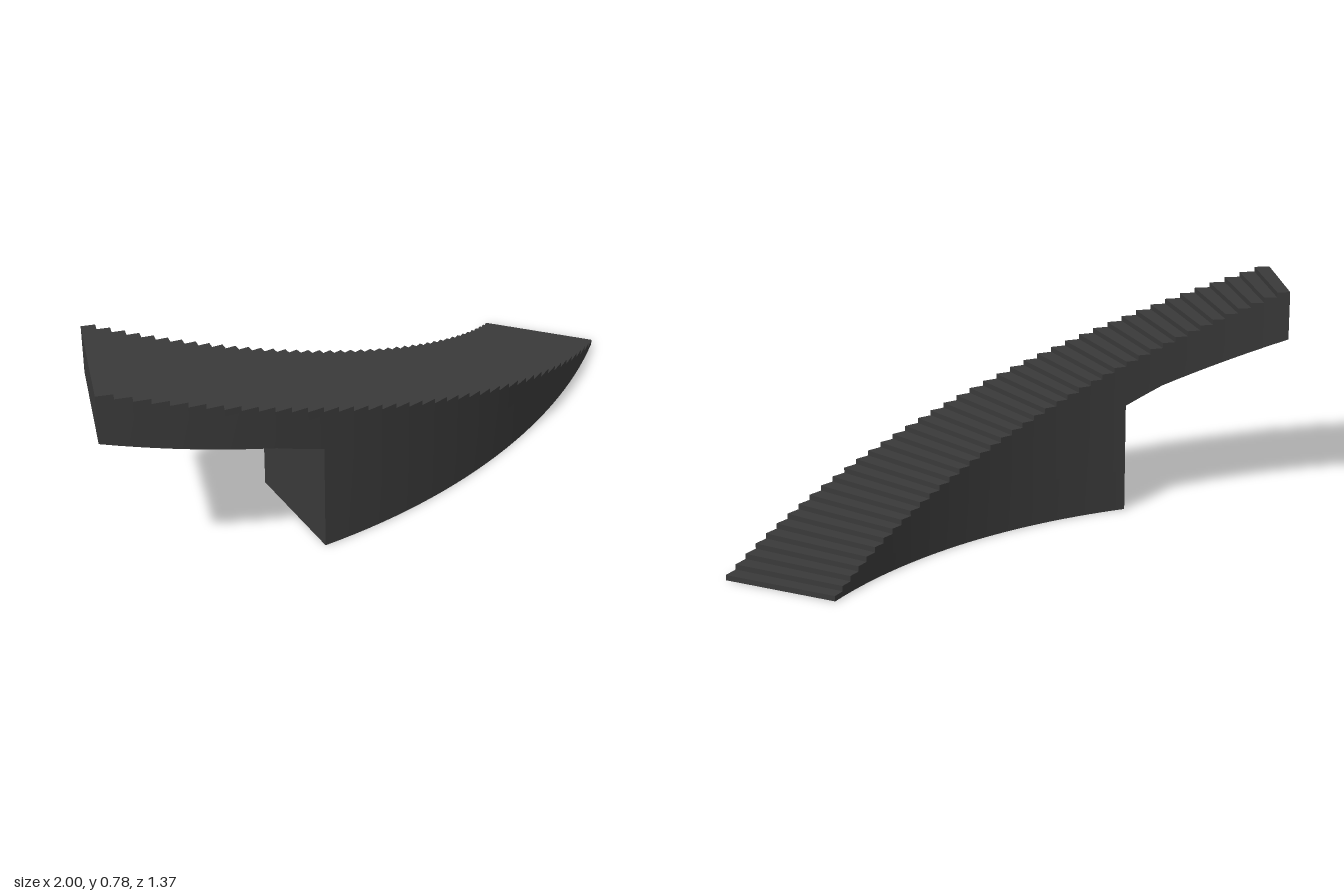
import * as THREE from 'three';
import { toCreasedNormals } from 'three/addons/utils/BufferGeometryUtils.js';

const STEPS = 42, SWEEP = Math.PI / 3, HEIGHT = 0.78;
const R_OUT = 2.309, R_IN = 1.886, CENTRE_Z = -1.626;
const BASE_STEP = 13; // the solid base starts below this step
const KINK_STEP = 10; // the soffit gets steeper here

// Point at a radius, a position along the stair (in steps) and a height
const point = (r, s, y) => {
  const a = (s / STEPS) * SWEEP;
  return [-1 + r * Math.sin(a), y, CENTRE_Z + r * Math.cos(a)];
};

const topAt = (i) => (HEIGHT * (STEPS - i)) / STEPS;
const soffitAt = (s) => (s <= KINK_STEP
  ? THREE.MathUtils.mapLinear(s, 0, KINK_STEP, 0.604, 0.455)
  : THREE.MathUtils.mapLinear(s, KINK_STEP, BASE_STEP, 0.455, 0.393));

// Quad with corners counter-clockwise as seen from outside
const quad = (list, a, b, c, d) => list.push(...a, ...b, ...c, ...a, ...c, ...d);

// Radial face across the stair, facing down the stair or up it
function crossFace(list, s, y0, y1, facesDown) {
  const [l, r] = facesDown ? [R_OUT, R_IN] : [R_IN, R_OUT];
  quad(list, point(l, s, y0), point(r, s, y0), point(r, s, y1), point(l, s, y1));
}

export function createModel() {
  const group = new THREE.Group();
  const material = new THREE.MeshStandardMaterial({ color: 0x3a3a3a });
  const parts = { treads: [], risers: [], outerWall: [], innerWall: [], underside: [], endFaces: [] };

  for (let i = 0; i < STEPS; i++) {
    const j = i + 1, top = topAt(i);
    const overhang = i < BASE_STEP;
    const b0 = overhang ? soffitAt(i) : 0;
    const b1 = overhang ? soffitAt(j) : 0;

    quad(parts.treads, point(R_OUT, i, top), point(R_OUT, j, top), point(R_IN, j, top), point(R_IN, i, top));
    crossFace(parts.risers, j, topAt(j), top, true);
    quad(parts.outerWall, point(R_OUT, i, b0), point(R_OUT, j, b1), point(R_OUT, j, top), point(R_OUT, i, top));
    quad(parts.innerWall, point(R_IN, j, b1), point(R_IN, i, b0), point(R_IN, i, top), point(R_IN, j, top));
    quad(parts.underside, point(R_IN, i, b0), point(R_IN, j, b1), point(R_OUT, j, b1), point(R_OUT, i, b0));
  }

  // Upper end of the flight and the upright face of the base
  crossFace(parts.endFaces, 0, soffitAt(0), HEIGHT, false);
  crossFace(parts.endFaces, BASE_STEP, 0, soffitAt(BASE_STEP), false);

  for (const [name, positions] of Object.entries(parts)) {
    const geometry = new THREE.BufferGeometry();
    geometry.setAttribute('position', new THREE.Float32BufferAttribute(positions, 3));
    geometry.computeVertexNormals();
    const mesh = new THREE.Mesh(toCreasedNormals(geometry, 0.1), material);
    mesh.name = name;
    group.add(mesh);
  }
  group.name = 'curvedStaircase';
  return group;
}
